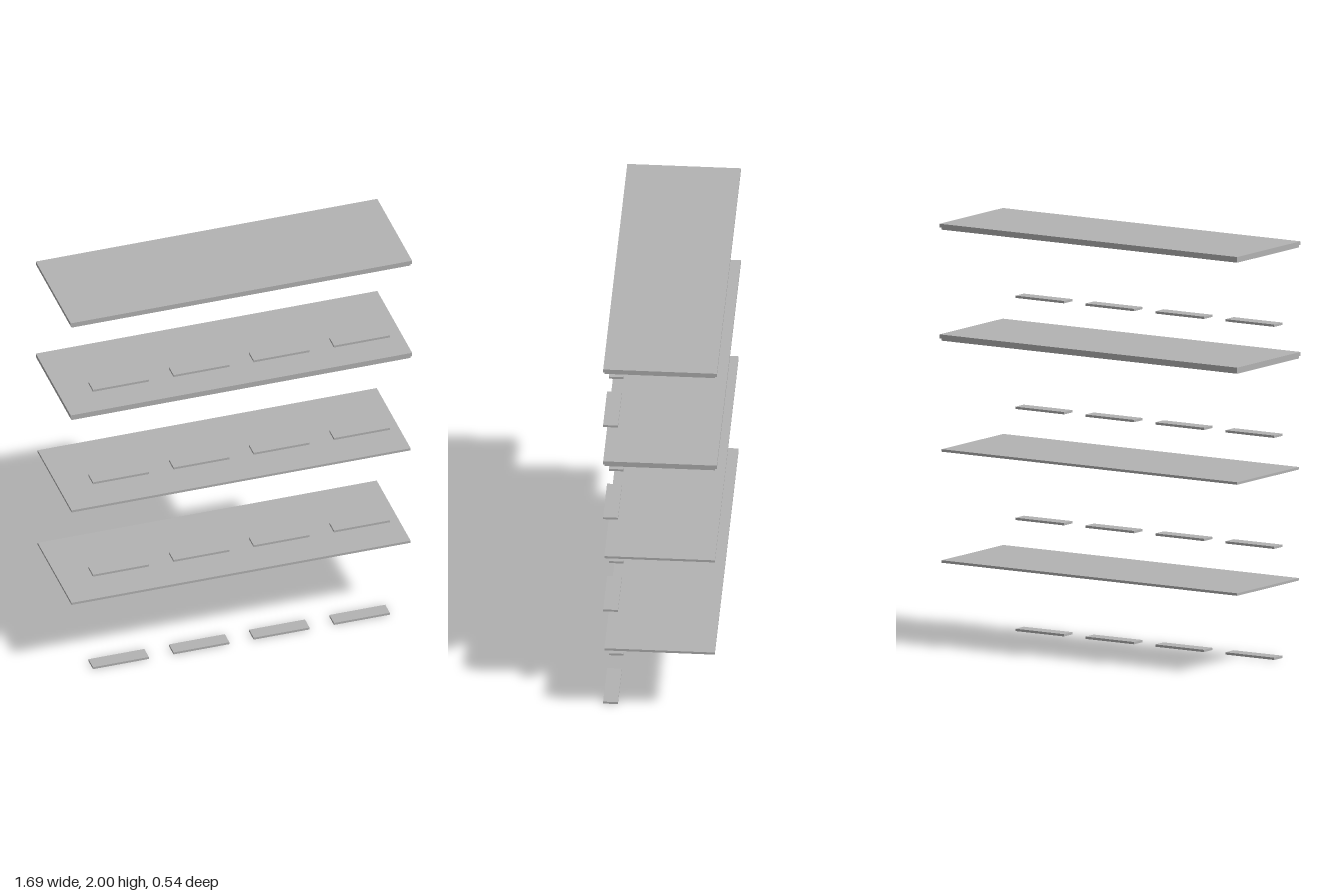
import * as THREE from 'three';

export function createModel() {
  const model = new THREE.Group();
  model.name = 'shelfLevels';

  const grey = new THREE.MeshStandardMaterial({ color: 0xb2b2b2 });
  grey.name = 'plain grey';

  // Box given by its lower and upper limits on each axis
  function slab(name, [x0, x1], [y0, y1], [z0, z1], parent) {
    const mesh = new THREE.Mesh(new THREE.BoxGeometry(x1 - x0, y1 - y0, z1 - z0), grey);
    mesh.position.set((x0 + x1) / 2, (y0 + y1) / 2, (z0 + z1) / 2);
    mesh.name = name;
    parent.add(mesh);
  }

  const pitch = 0.53;
  const columns = [-0.598, -0.2, 0.196, 0.593];

  for (let level = 0; level < 4; level++) {
    const group = new THREE.Group();
    group.name = `level${level + 1}`;
    model.add(group);

    // Row of four small plates along the front
    const plateY = level * pitch;
    for (const x of columns) {
      slab('frontPlate', [x - 0.138, x + 0.138], [plateY, plateY + 0.011], [0.202, 0.272], group);
    }

    // Wide shelf board
    const boardY = 0.381 + level * pitch;
    slab('shelfBoard', [-0.838, 0.838], [boardY, boardY + 0.012], [-0.262, 0.259], group);

    // The two upper levels carry a slightly larger top panel
    if (level >= 2) {
      const top = level === 3 ? 2 : 1.472;
      slab('topPanel', [-0.844, 0.844], [boardY + 0.012, top], [-0.272, 0.264], group);
    }
  }
  return model;
}
